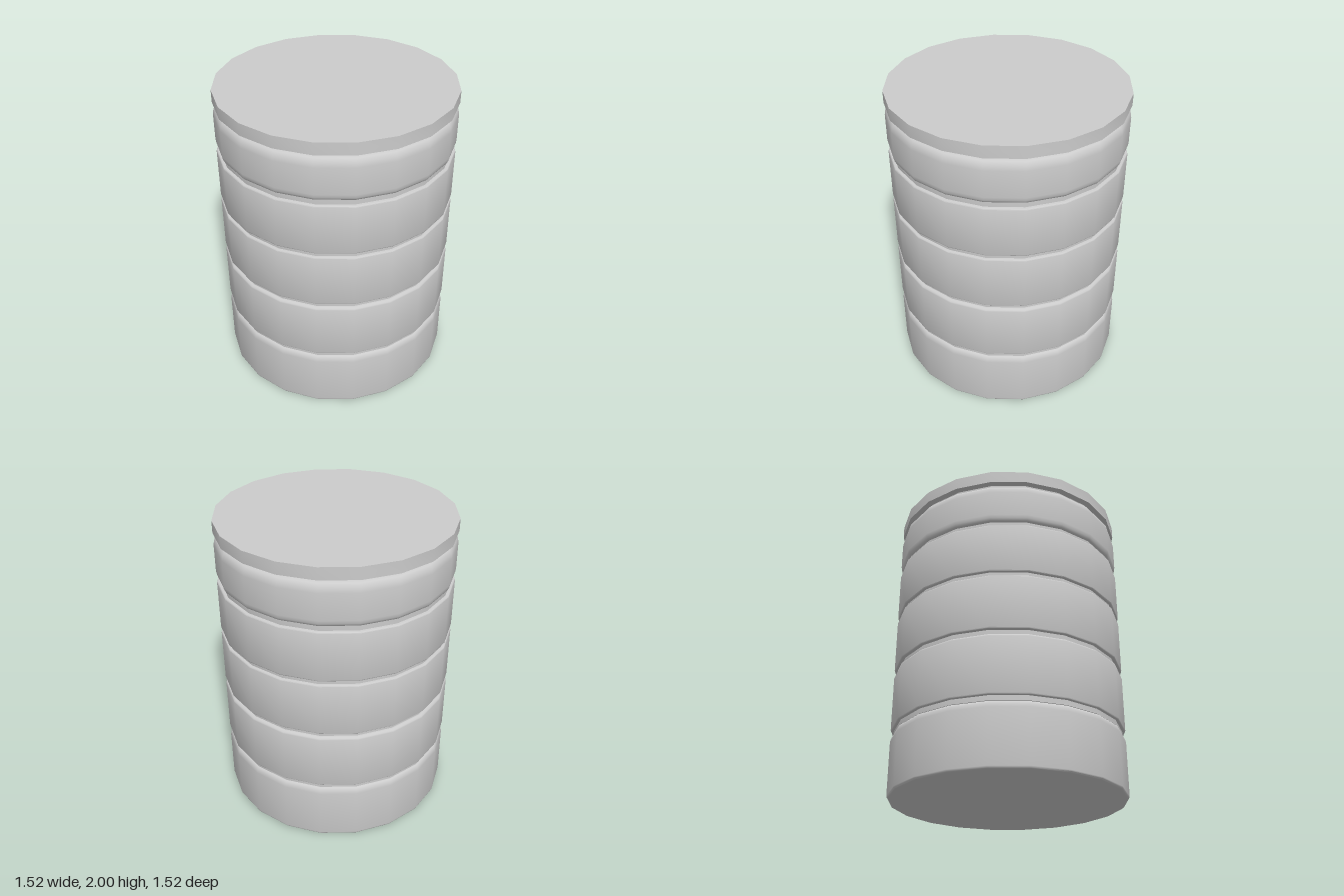
import * as THREE from 'three';
import { toCreasedNormals } from 'three/addons/utils/BufferGeometryUtils.js';

const SIDES = 20;
const R = 0.762; // outer radius
const material = new THREE.MeshStandardMaterial({ color: 0xcccccc });

// Turned part from [radius, height] pairs, listed from bottom to top
function turned(name, profile) {
  const points = profile.map(([r, y]) => new THREE.Vector2(r, y));
  const geometry = toCreasedNormals(new THREE.LatheGeometry(points, SIDES), 0.65);
  const mesh = new THREE.Mesh(geometry, material);
  mesh.name = name;
  return mesh;
}

// Rounded edge: inset d, height h, as offsets running from the wall to the end face
function edge(d, h) {
  return [0, 1, 2, 3].map((i) => {
    const a = (i / 3) * Math.PI / 2;
    return [R - d * (1 - Math.cos(a)), h * Math.sin(a)];
  });
}

// Solid band with its own rounding at the lower and upper edge
function band(name, y0, y1, [d0, h0], [d1, h1]) {
  const lower = edge(d0, h0).reverse().map(([r, h]) => [r, y0 + h0 - h]);
  const upper = edge(d1, h1).map(([r, h]) => [r, y1 - h1 + h]);
  return turned(name, [[0, y0], ...lower, ...upper, [0, y1]]);
}

export function createModel() {
  const group = new THREE.Group();
  group.name = 'ribbedBarrel';

  const sharp = [0.008, 0.008];
  group.add(
    band('bottomBand', 0, 0.405, [0.012, 0.015], [0.027, 0.045]),
    band('lowerBand', 0.437, 0.825, sharp, [0.024, 0.018]),
    band('middleBand', 0.857, 1.22, sharp, sharp),
    band('upperBand', 1.25, 1.588, sharp, sharp),
    band('topBand', 1.62, 1.9, [0.024, 0.045], [0.04, 0.06]),
  );

  // Recessed grooves between the bands
  const grooves = [
    [0.405, 0.437, 0.742], [0.825, 0.857, 0.738],
    [1.22, 1.25, 0.742], [1.588, 1.62, 0.74],
  ];
  grooves.forEach(([y0, y1, r], i) => group.add(turned(`groove${i + 1}`, [[r, y0], [r, y1]])));

  // Narrow neck and flat lid
  group.add(turned('neck', [[0.72, 1.89], [0.72, 1.922]]));
  group.add(turned('lid', [[0, 1.92], [R, 1.92], [R, 2], [0, 2]]));
  return group;
}
